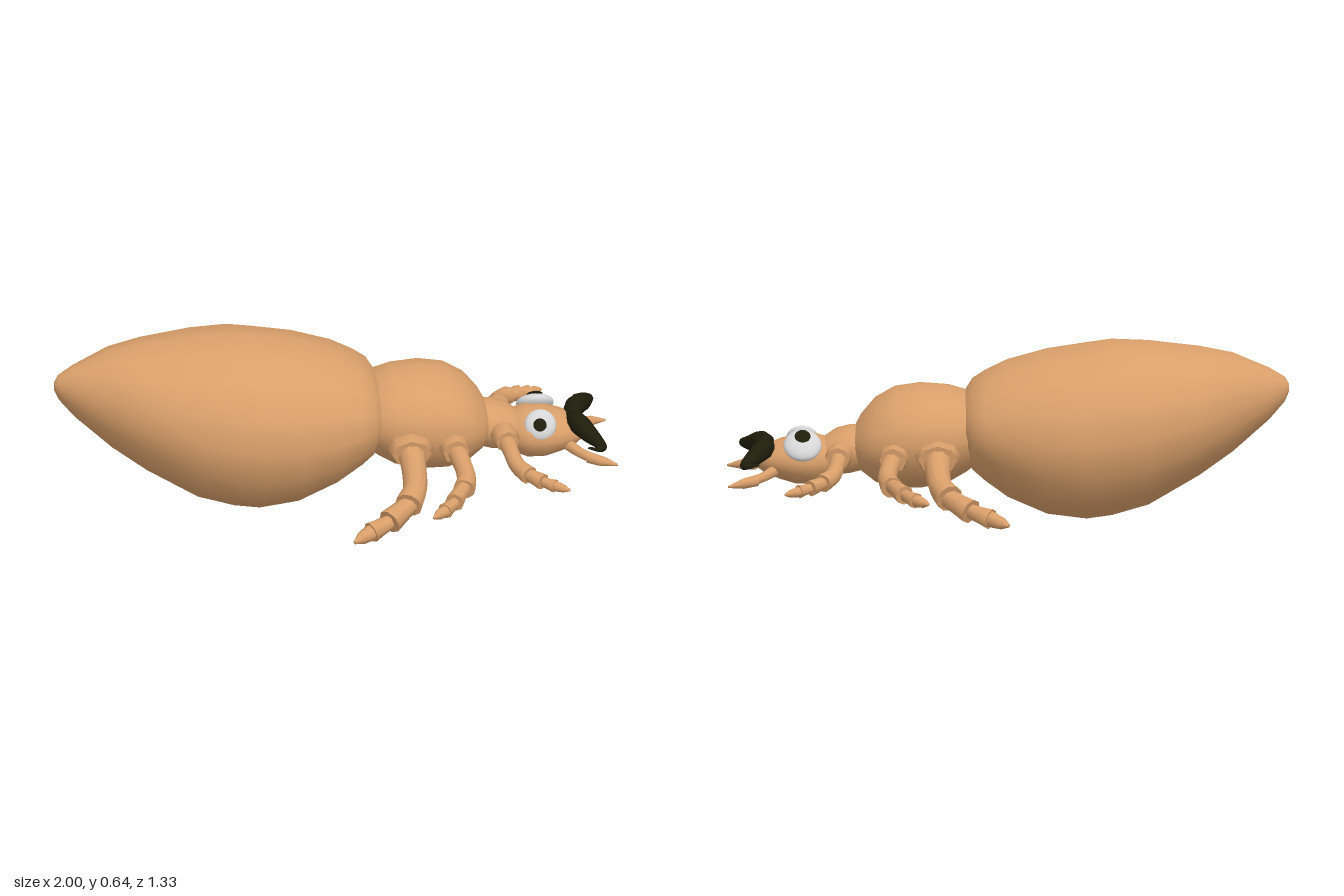
import * as THREE from 'three';

const mat = (name, color) => Object.assign(new THREE.MeshStandardMaterial({ color }), { name });

// Closed loft through sections [x, y, z, vertical radius, horizontal radius]
function loft(sections, sides, axis) {
  const pos = [], idx = [], n = sections.length, up = new THREE.Vector3(0, 1, 0);
  const centres = sections.map(s => new THREE.Vector3(s[0], s[1], s[2]));
  const ring = i => {
    const s = sections[i];
    const t = axis ? axis.clone()
      : centres[Math.min(i + 1, n - 1)].clone().sub(centres[Math.max(i - 1, 0)]).normalize();
    const u = t.clone().cross(up).normalize(), v = u.clone().cross(t);
    for (let j = 0; j < sides; j++) {
      const a = j / sides * Math.PI * 2;
      const p = centres[i].clone().addScaledVector(u, Math.cos(a) * (s[4] ?? s[3])).addScaledVector(v, Math.sin(a) * s[3]);
      pos.push(p.x, p.y, p.z);
    }
  };
  for (let i = 0; i < n; i++) ring(i);
  for (let i = 0; i < n - 1; i++) for (let j = 0; j < sides; j++) {
    const a = i * sides + j, b = i * sides + (j + 1) % sides;
    idx.push(a, a + sides, b, b, a + sides, b + sides);
  }
  // Sharp end caps with their own vertices
  for (const i of [0, n - 1]) {
    const start = pos.length / 3;
    ring(i);
    pos.push(...centres[i].toArray());
    for (let j = 0; j < sides; j++) {
      const a = start + j, b = start + (j + 1) % sides;
      idx.push(start + sides, ...(i ? [b, a] : [a, b]));
    }
  }
  const g = new THREE.BufferGeometry();
  g.setAttribute('position', new THREE.Float32BufferAttribute(pos, 3));
  g.setIndex(idx);
  g.computeVertexNormals();
  return g;
}

// Smoothly interpolated tapered tube through [x, y, z, radius] points
function taper(points, steps, sides) {
  const curve = new THREE.CatmullRomCurve3(points.map(p => new THREE.Vector3(p[0], p[1], p[2])));
  const secs = [];
  for (let i = 0; i <= steps; i++) {
    const t = i / steps, k = t * (points.length - 1), a = Math.min(Math.floor(k), points.length - 2);
    const p = curve.getPoint(t);
    const r = THREE.MathUtils.lerp(points[a][3], points[a + 1][3], k - a);
    secs.push([p.x, p.y, p.z, r, r]);
  }
  return loft(secs, sides);
}

export function createModel() {
  const model = new THREE.Group();
  const skin = mat('tan skin', 0xd99f6a), white = mat('eye white', 0xd6d6d6), dark = mat('dark hair', 0x1f1d0b);
  const add = (name, geo, m, parent = model) => {
    const mesh = new THREE.Mesh(geo, m);
    mesh.name = name;
    parent.add(mesh);
    return mesh;
  };

  // Body parts from profiles of [x, top, bottom, half width]
  const body = (name, profile) => add(name, loft(
    profile.map(([x, t, b, w]) => [x, (t + b) / 2, 0, (t - b) / 2, w]), 16, new THREE.Vector3(1, 0, 0)), skin);
  body('abdomen', [
    [-1, 0.485, 0.455, 0.012], [-0.985, 0.51, 0.42, 0.038], [-0.93, 0.543, 0.355, 0.085], [-0.8, 0.598, 0.24, 0.19],
    [-0.68, 0.62, 0.155, 0.265], [-0.5, 0.64, 0.05, 0.338], [-0.37, 0.645, 0.012, 0.36], [-0.28, 0.632, 0, 0.366],
    [-0.14, 0.61, 0.018, 0.35], [0, 0.57, 0.08, 0.312], [0.08, 0.53, 0.14, 0.28], [0.125, 0.5, 0.18, 0.25], [0.15, 0.46, 0.23, 0.2]]);
  body('thorax', [
    [0.11, 0.43, 0.2, 0.18], [0.15, 0.462, 0.17, 0.21], [0.21, 0.48, 0.135, 0.232], [0.31, 0.488, 0.113, 0.243],
    [0.4, 0.475, 0.113, 0.232], [0.47, 0.435, 0.135, 0.205], [0.52, 0.375, 0.175, 0.16], [0.55, 0.32, 0.22, 0.09]]);
  body('neck', [[0.5, 0.34, 0.18, 0.1], [0.56, 0.338, 0.165, 0.115], [0.61, 0.325, 0.16, 0.112], [0.66, 0.29, 0.17, 0.09]]);
  body('head', [
    [0.625, 0.27, 0.17, 0.08], [0.645, 0.295, 0.145, 0.11], [0.69, 0.307, 0.127, 0.13], [0.75, 0.303, 0.127, 0.13],
    [0.81, 0.287, 0.145, 0.112], [0.86, 0.265, 0.165, 0.082], [0.89, 0.24, 0.185, 0.045], [0.9, 0.225, 0.2, 0.015]]);

  // Legs: hip cuff, curved upper leg, then flared tarsal cups and a claw
  const legs = [
    { name: 'hindLeg', hip: [[0.25, 0.26, 0.19, 0.055, 0.075], [0.25, 0.267, 0.235, 0.058, 0.083], [0.25, 0.262, 0.275, 0.052, 0.07]],
      upper: [[0.25, 0.26, 0.24, 0.05], [0.25, 0.225, 0.34, 0.044], [0.24, 0.195, 0.44, 0.043], [0.21, 0.17, 0.51, 0.05]],
      foot: [[0.24, 0.18, 0.475], [0.135, 0.135, 0.57], [0.065, 0.115, 0.61], [0, 0.1, 0.66]], r: 0.046 },
    { name: 'middleLeg', hip: [[0.4, 0.255, 0.18, 0.045, 0.05], [0.405, 0.262, 0.22, 0.05, 0.056], [0.41, 0.258, 0.265, 0.045, 0.048]],
      upper: [[0.41, 0.255, 0.23, 0.036], [0.425, 0.235, 0.32, 0.034], [0.43, 0.215, 0.4, 0.034], [0.415, 0.2, 0.46, 0.04]],
      foot: [[0.425, 0.21, 0.43], [0.37, 0.19, 0.55], [0.33, 0.18, 0.6], [0.285, 0.175, 0.645]], r: 0.035 },
    { name: 'frontLeg', hip: [[0.59, 0.25, 0.08, 0.045, 0.045], [0.6, 0.25, 0.13, 0.047, 0.05], [0.605, 0.247, 0.17, 0.04, 0.042]],
      upper: [[0.6, 0.245, 0.13, 0.032], [0.61, 0.23, 0.22, 0.029], [0.625, 0.21, 0.3, 0.029], [0.66, 0.195, 0.355, 0.034]],
      foot: [[0.64, 0.2, 0.33], [0.705, 0.185, 0.395], [0.745, 0.178, 0.42], [0.795, 0.172, 0.45]], r: 0.03 },
  ];
  for (const side of [1, -1]) {
    const label = side > 0 ? 'Left' : 'Right';
    const flip = pts => pts.map(([x, y, z, ...r]) => [x, y, z * side, ...r]);
    for (const leg of legs) {
      const g = new THREE.Group();
      g.name = leg.name + label;
      model.add(g);
      add('hip', loft(flip(leg.hip), 8), skin, g);
      add('upperLeg', taper(flip(leg.upper), 9, 10), skin, g);
      const f = flip(leg.foot);
      for (let i = 0; i < 3; i++) {
        const a = f[i], b = f[i + 1], k = leg.r * (1 - 0.17 * i);
        const mid = a.map((v, j) => v + (b[j] - v) * 0.6);
        add(i < 2 ? 'tarsus' : 'claw', loft(i < 2
          ? [[...a, k * 0.72], [...mid, k * 0.85], [...b, k]]
          : [[...a, k], [...mid, k * 0.75], [...b, k * 0.2]], 8), skin, g);
      }
    }
    // Mouth feelers
    add('feeler' + label, taper(flip([[0.82, 0.19, 0.06, 0.022], [0.865, 0.175, 0.125, 0.018], [0.91, 0.165, 0.165, 0.018]]), 6, 8), skin);
    add('feelerTip' + label, loft(flip([[0.895, 0.166, 0.155, 0.021], [0.94, 0.16, 0.18, 0.019], [0.995, 0.152, 0.2, 0.004]]), 8), skin);
    // Curled moustache half
    add('moustache' + label, taper(flip([
      [0.852, 0.26, -0.004, 0.026], [0.862, 0.262, 0.045, 0.036], [0.878, 0.26, 0.095, 0.037], [0.905, 0.245, 0.145, 0.03],
      [0.928, 0.236, 0.19, 0.021], [0.938, 0.232, 0.222, 0.015], [0.92, 0.234, 0.242, 0.009], [0.885, 0.238, 0.235, 0.003]]), 24, 10), dark);
  }

  // Flattened eyes, the right one larger and turned further upward
  const eye = (name, at, dir, r, px, py) => {
    const g = new THREE.Group();
    g.name = name;
    g.position.set(...at);
    g.quaternion.setFromUnitVectors(new THREE.Vector3(0, 0, 1), new THREE.Vector3(...dir).normalize());
    add('eyeball', new THREE.SphereGeometry(r, 20, 14), white, g).scale.z = 0.42;
    const pupil = add('pupil', new THREE.SphereGeometry(r * 0.42, 16, 8), dark, g);
    pupil.scale.z = 0.2;
    pupil.position.set(px, py, r * 0.4);
    model.add(g);
  };
  eye('leftEye', [0.73, 0.272, 0.09], [0, 0.55, 0.83], 0.057, -0.004, -0.004);
  eye('rightEye', [0.73, 0.28, -0.088], [0, 0.75, -0.66], 0.068, 0, -0.02);
  return model;
}
